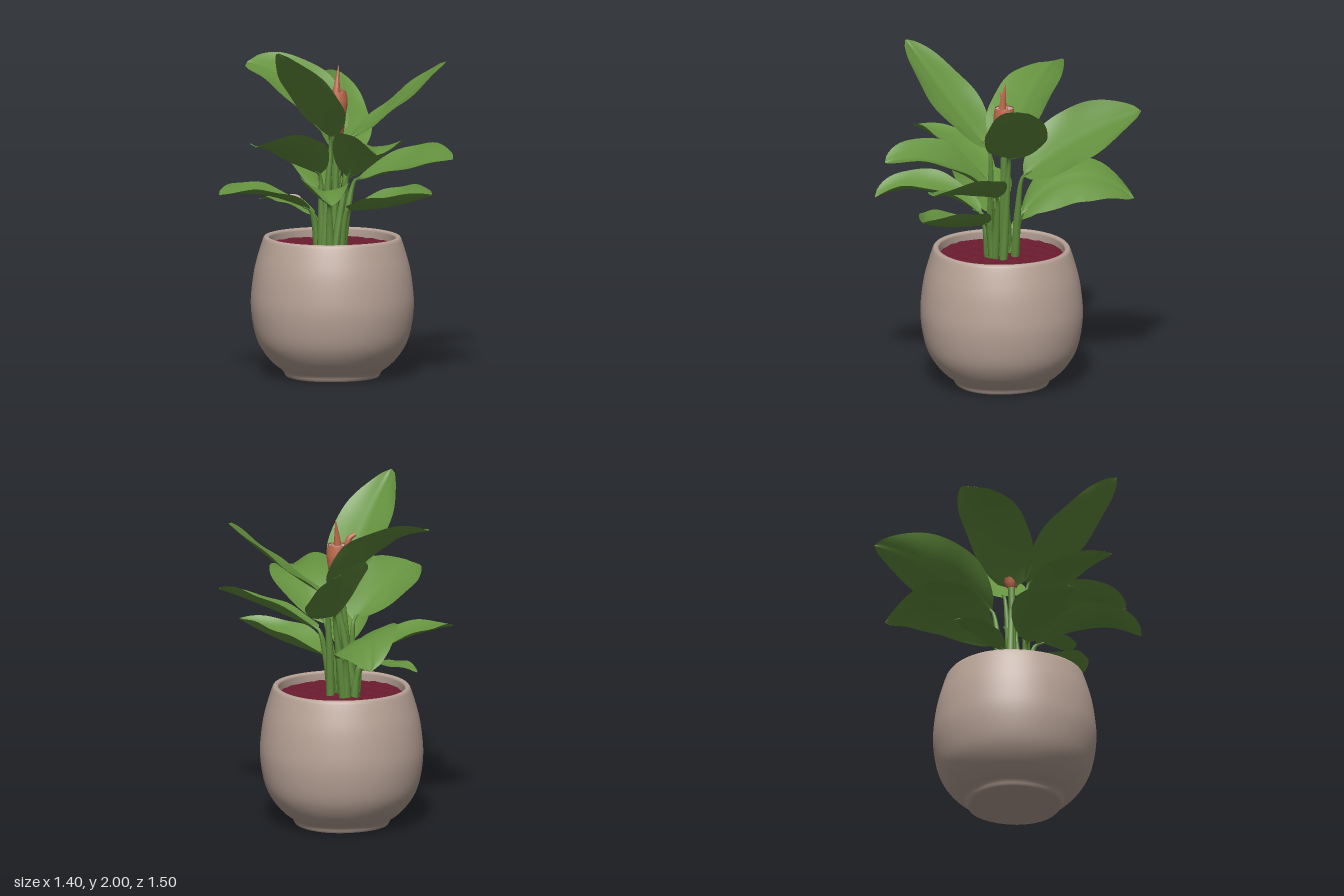
import * as THREE from 'three';

const V = (x, y, z) => new THREE.Vector3(x, y, z);
const mat = (name, color, side = THREE.FrontSide) => {
  const m = new THREE.MeshStandardMaterial({ color, side });
  m.name = name;
  return m;
};

// tube whose radius follows radiusAt(t) along a smooth path
function taperedTube(points, radiusAt, segs = 16, sides = 10) {
  const curve = new THREE.CatmullRomCurve3(points);
  const geo = new THREE.TubeGeometry(curve, segs, 1, sides);
  const pos = geo.attributes.position, v = V(0, 0, 0);
  for (let i = 0; i <= segs; i++) {
    const c = curve.getPointAt(i / segs), r = radiusAt(i / segs);
    for (let j = 0; j <= sides; j++) {
      const k = i * (sides + 1) + j;
      v.fromBufferAttribute(pos, k).sub(c).multiplyScalar(r).add(c);
      pos.setXYZ(k, v.x, v.y, v.z);
    }
  }
  geo.computeVertexNormals();
  return geo;
}

// leaf blade swept along an arched midrib; roll raises its right edge, cup raises both edges
function bladeGeometry({ base, mid, tip, w, roll = 0, cup = 0.2, blunt = 0.66 }) {
  const b = V(...base), t = V(...tip);
  const ctrl = V(...mid).multiplyScalar(2).sub(b.clone().add(t).multiplyScalar(0.5));
  const curve = new THREE.QuadraticBezierCurve3(b, ctrl, t);
  const dir = t.clone().sub(b).setY(0).normalize();
  const right = V(-dir.z, 0, dir.x);
  const nu = 28, nv = 14, pos = [], idx = [];
  for (let i = 0; i <= nu; i++) {
    const u = i / nu, p = curve.getPoint(u), tan = curve.getTangent(u);
    const up = right.clone().cross(tan).normalize();
    const side = right.clone().multiplyScalar(Math.cos(roll)).addScaledVector(up, Math.sin(roll));
    const lift = side.clone().cross(tan).normalize();
    const half = w * Math.pow(Math.max(0, Math.sin(Math.PI * Math.pow(u, 0.9))), blunt) + 0.004;
    for (let j = 0; j <= nv; j++) {
      const s = (j / nv) * 2 - 1;
      const h = half * cup * s * s - 0.006 * Math.exp(-60 * s * s)
        + 0.006 * Math.sin(u * 14 + s * 2) * s * s;
      const q = p.clone().addScaledVector(side, s * half).addScaledVector(lift, h);
      pos.push(q.x, q.y, q.z);
      if (i < nu && j < nv) {
        const a = i * (nv + 1) + j, c = a + nv + 1;
        idx.push(a, a + 1, c, a + 1, c + 1, c);
      }
    }
  }
  const geo = new THREE.BufferGeometry();
  geo.setAttribute('position', new THREE.Float32BufferAttribute(pos, 3));
  geo.setIndex(idx);
  geo.computeVertexNormals();
  return geo;
}

export function createModel() {
  const model = new THREE.Group();
  const clay = mat('warm grey clay', 0xb7a296);
  const soilMat = mat('dark red soil', 0x6b1c2f);
  const leafMat = mat('leaf green', 0x65923f, THREE.DoubleSide);
  const stemMat = mat('stem green', 0x5f8c3c);
  const coral = mat('coral', 0xbf6a4b, THREE.DoubleSide);
  const pale = mat('pale grey', 0xb9aaa4, THREE.DoubleSide);
  const add = (geo, material, name, parent = model) => {
    const m = new THREE.Mesh(geo, material);
    m.name = name;
    parent.add(m);
    return m;
  };
  const cx = 0.025, cz = 0.03;

  // pot: rounded wall, small foot and rim with an inner wall
  const outer = [[0.282, 0.022], [0.297, 0.042], [0.335, 0.07], [0.387, 0.125], [0.435, 0.205],
    [0.462, 0.3], [0.476, 0.42], [0.47, 0.53], [0.452, 0.65], [0.422, 0.76], [0.402, 0.82]];
  const vec2 = list => list.map(p => new THREE.Vector2(...p));
  const profile = [
    ...vec2([[0, 0.008], [0.255, 0.008], [0.263, 0], [0.272, 0.003], [0.278, 0.012]]),
    ...new THREE.SplineCurve(vec2(outer)).getPoints(36),
    ...vec2([[0.396, 0.829], [0.386, 0.832], [0.372, 0.828], [0.366, 0.815], [0.372, 0.74]]),
  ];
  const pot = new THREE.LatheGeometry(profile, 72);
  // very slightly squared plan
  const pp = pot.attributes.position;
  for (let i = 0; i < pp.count; i++) {
    const x = pp.getX(i), z = pp.getZ(i);
    const k = 1 + 0.012 * (1 - Math.cos(4 * Math.atan2(z, x)));
    pp.setXYZ(i, x * k, pp.getY(i), z * k);
  }
  add(pot, clay, 'pot').position.set(cx, 0, cz);

  // slightly lumpy soil
  const soil = new THREE.RingGeometry(0.001, 0.374, 56, 14).rotateX(-Math.PI / 2);
  const sp = soil.attributes.position;
  for (let i = 0; i < sp.count; i++) {
    const x = sp.getX(i), z = sp.getZ(i);
    sp.setY(i, 0.777 + 0.006 * Math.sin(x * 47 + z * 13) * Math.cos(z * 41 - x * 9));
  }
  soil.computeVertexNormals();
  add(soil, soilMat, 'soil').position.set(cx, 0, cz);

  // leaves: midrib base, middle and tip, half width
  const leaves = [
    { base: [-0.01, 1.43, 0.1], mid: [-0.21, 1.7, 0.3], tip: [-0.45, 2.0, 0.49], w: 0.185, roll: 0.08, cup: 0.2 },
    { base: [0.14, 1.4, 0.01], mid: [0.42, 1.6, 0.04], tip: [0.7, 1.85, 0.11], w: 0.18, blunt: 0.45, cup: 0.1 },
    { base: [0.06, 1.42, 0.02], mid: [-0.12, 1.7, -0.17], tip: [-0.37, 1.83, -0.38], w: 0.22, blunt: 0.45, roll: 0.25 },
    { base: [0.11, 1.28, -0.08], mid: [0.18, 1.5, -0.4], tip: [0.32, 1.69, -0.74], w: 0.22, roll: -0.6, cup: 0.22 },
    { base: [0.04, 1.03, -0.09], mid: [0.04, 1.23, -0.42], tip: [0.12, 1.1, -0.75], w: 0.2, roll: -0.45, cup: -0.1 },
    { base: [-0.06, 0.95, -0.07], mid: [-0.17, 1.015, -0.27], tip: [-0.27, 1.0, -0.46], w: 0.08, cup: 0.1 },
    { base: [-0.12, 1.0, 0.05], mid: [-0.4, 1.1, 0.04], tip: [-0.7, 1.12, 0.11], w: 0.155, roll: 0.06, cup: 0.28 },
    { base: [-0.07, 1.21, 0.08], mid: [-0.32, 1.37, 0.24], tip: [-0.57, 1.44, 0.41], w: 0.19, roll: -0.24, cup: 0.32 },
    { base: [0.09, 1.19, 0.13], mid: [0.12, 1.41, 0.44], tip: [0.07, 1.41, 0.75], w: 0.19, roll: 0.17, cup: 0.3 },
    { base: [0.15, 1.17, 0.09], mid: [0.4, 1.28, 0.33], tip: [0.59, 1.34, 0.59], w: 0.19, roll: -0.32, cup: 0.25 },
    { base: [0.09, 1.0, 0.14], mid: [0.27, 1.05, 0.39], tip: [0.45, 1.14, 0.62], w: 0.165, roll: -0.12, cup: 0.5 },
    { base: [-0.03, 1.03, 0.14], mid: [-0.16, 1.17, 0.45], tip: [-0.21, 1.12, 0.74], w: 0.145, roll: 0.1, cup: 0.42, blunt: 0.55 },
  ];
  const foliage = new THREE.Group();
  foliage.name = 'foliage';
  model.add(foliage);
  leaves.forEach((leaf, i) => {
    const b = V(...leaf.base);
    add(bladeGeometry(leaf), leafMat, `leaf${i + 1}`, foliage);
    // stalk rises from the soil and runs into the midrib
    const a = Math.atan2(leaf.tip[2] - cz, leaf.tip[0] - cx);
    const foot = V(0.012 + 0.08 * Math.cos(a), 0.76, 0.027 + 0.08 * Math.sin(a));
    const knee = foot.clone().lerp(b, 0.55).add(V(-0.01 * Math.cos(a), 0.02, -0.01 * Math.sin(a)));
    const end = b.clone().lerp(V(...leaf.mid), 0.15);
    add(taperedTube([foot, knee, b, end], t => 0.025 - 0.019 * t * t), stemMat, `stalk${i + 1}`, foliage);
  });

  // pale patch on the smallest leaf
  const patch = add(new THREE.CircleGeometry(0.04, 20).rotateX(-Math.PI / 2), pale, 'leafPatch', foliage);
  patch.position.set(-0.125, 1.032, -0.24);
  patch.rotation.x = 0.35;

  // flower: stem, furled cup with pale inside, tall spike and a curled lip
  const flower = new THREE.Group();
  flower.name = 'flower';
  model.add(flower);
  add(taperedTube([V(0.03, 0.76, 0.03), V(0.045, 1.1, 0.025), V(0.052, 1.45, 0.02)], () => 0.021),
    stemMat, 'flowerStem', flower);
  const cup = [[0.026, 1.42], [0.042, 1.45], [0.05, 1.52], [0.062, 1.6], [0.064, 1.64], [0.055, 1.69]];
  add(new THREE.LatheGeometry(vec2(cup), 28), coral, 'flowerCup', flower)
    .position.set(0.055, 0, 0.022);
  add(new THREE.CircleGeometry(0.056, 28).rotateX(-Math.PI / 2), pale, 'flowerInside', flower)
    .position.set(0.055, 1.682, 0.022);
  add(taperedTube([V(0.045, 1.62, 0.035), V(0.052, 1.71, 0.03), V(0.068, 1.84, 0.015)],
    t => 0.03 * (1 - t) + 0.002), coral, 'flowerSpike', flower);
  add(taperedTube([V(0.03, 1.56, 0.02), V(0.0, 1.66, 0.015), V(-0.018, 1.725, 0.01), V(-0.052, 1.745, 0.01)],
    t => 0.03 - 0.017 * t), coral, 'flowerLip', flower);
  add(taperedTube([V(0.09, 1.6, 0.015), V(0.098, 1.66, 0.015), V(0.088, 1.71, 0.015)],
    t => 0.02 * (1 - t) + 0.002), coral, 'flowerSideTip', flower);

  return model;
}
